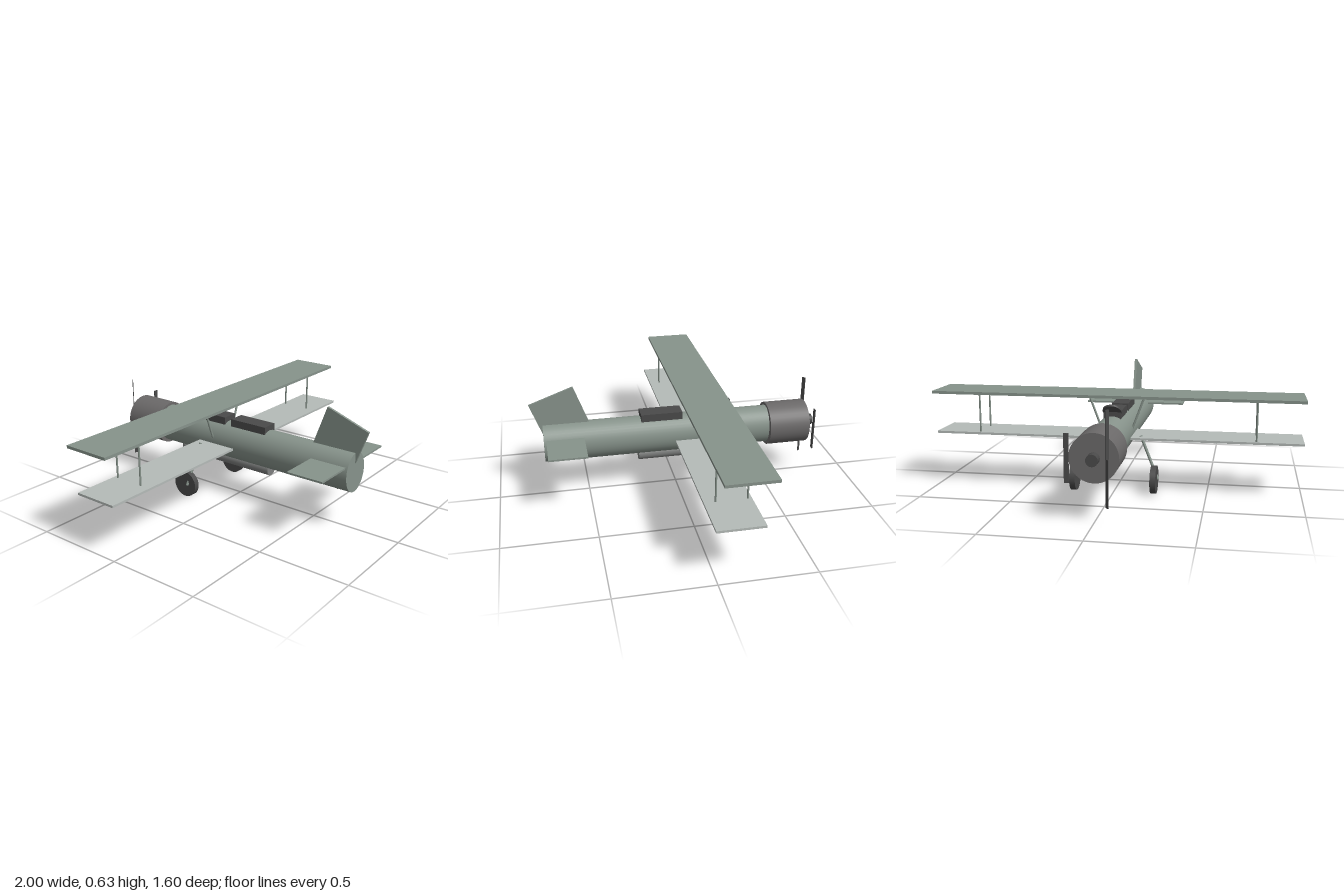
import * as THREE from 'three';

const paint = (name, color) => {
  const m = new THREE.MeshStandardMaterial({ color });
  m.name = name;
  return m;
};

export function createModel() {
  const green = paint('grey green', 0x87938b);
  const pale = paint('pale grey', 0xb5bbb8);
  const cowlGrey = paint('cowl grey', 0x6b6969);
  const dark = paint('dark grey', 0x4a4a4a);
  const bellyGrey = paint('belly grey', 0x7d7f7e);

  const model = new THREE.Group();
  model.name = 'biplane';

  const add = (name, geometry, material, x = 0, y = 0, z = 0) => {
    const mesh = new THREE.Mesh(geometry, material);
    mesh.name = name;
    mesh.position.set(x, y, z);
    model.add(mesh);
    return mesh;
  };
  const box = (name, material, w, h, d, x, y, z) =>
    add(name, new THREE.BoxGeometry(w, h, d), material, x, y, z);

  // Cylinder lying along z between two stations
  const barrel = (name, material, r, z0, z1, y, sides = 40) =>
    add(name, new THREE.CylinderGeometry(r, r, z1 - z0, sides).rotateX(Math.PI / 2),
      material, 0, y, (z0 + z1) / 2);

  // Round rod between two points
  const rod = (name, material, r, a, b) => {
    const from = new THREE.Vector3(...a), to = new THREE.Vector3(...b);
    const dir = to.clone().sub(from);
    const mesh = add(name, new THREE.CylinderGeometry(r, r, dir.length(), 12), material);
    mesh.position.copy(from).add(to).multiplyScalar(0.5);
    mesh.quaternion.setFromUnitVectors(new THREE.Vector3(0, 1, 0), dir.normalize());
    return mesh;
  };

  // Fuselage is a slightly narrow oval; the engine cowl is round
  const axisY = 0.317;
  barrel('fuselage', green, 0.108, -0.53, 0.735, axisY).scale.x = 0.85;
  barrel('engineCowl', cowlGrey, 0.122, -0.755, -0.525, axisY);
  barrel('propellerHub', dark, 0.03, -0.805, -0.75, axisY, 24);

  // Belly tank with a rounded nose
  barrel('bellyTank', bellyGrey, 0.037, -0.388, 0.215, 0.2, 28);
  add('bellyTankNose', new THREE.SphereGeometry(0.037, 28, 10, 0, Math.PI * 2, 0, Math.PI / 2)
    .rotateX(-Math.PI / 2), bellyGrey, 0, 0.2, -0.388);

  // Wings
  box('upperWing', green, 2, 0.015, 0.26, 0, 0.527, -0.147);
  box('lowerWing', pale, 2, 0.012, 0.24, 0, 0.295, -0.104);

  // Tail surfaces
  box('tailplane', green, 0.606, 0.01, 0.204, 0, 0.361, 0.62);
  const finTilt = THREE.MathUtils.degToRad(20);
  const fin = box('tailFin', green, 0.014, 0.25, 0.255, 0, 0, 0);
  fin.rotation.x = finTilt;
  fin.position.set(0, 0.59 - 0.125 * Math.cos(finTilt), 0.68 - 0.125 * Math.sin(finTilt));
  rod('tailSkid', green, 0.005, [0, 0.225, 0.605], [0, 0.2, 0.642]);

  // Cockpit coamings and tilted round windscreen
  box('rearCockpit', dark, 0.092, 0.043, 0.23, 0, 0.431, 0.085);
  box('frontCockpit', dark, 0.092, 0.043, 0.2, 0, 0.431, -0.174);
  const screen = add('windscreen', new THREE.CylinderGeometry(0.05, 0.05, 0.01, 32),
    dark, 0, 0.454, -0.273);
  screen.rotation.x = Math.PI / 4;

  // Struts, undercarriage and wheels on both sides
  for (const s of [-1, 1]) {
    for (const z of [-0.043, -0.203])
      rod('wingStrut', green, 0.005, [s * 0.755, 0.297, z], [s * 0.755, 0.523, z]);
    rod('cabaneStrut', green, 0.006, [s * 0.157, 0.523, -0.13], [s * 0.085, 0.33, -0.13]);
    rod('wheelStrut', green, 0.008, [s * 0.14, 0.305, -0.177], [s * 0.237, 0.072, -0.2]);
    add('wheel', new THREE.CylinderGeometry(0.075, 0.075, 0.031, 36).rotateZ(Math.PI / 2),
      dark, s * 0.218, 0.075, -0.219);
  }

  // Propeller blades: a twisted long pair and a short flat blade
  for (const s of [-1, 1]) {
    const blade = box('twistedBlade', dark, 0.02, 0.236, 0.004, -0.067, axisY + s * 0.118, -0.771);
    blade.rotation.y = s * Math.PI / 4;
  }
  box('flatBlade', dark, 0.024, 0.24, 0.005, 0.128, axisY, -0.772);

  return model;
}
